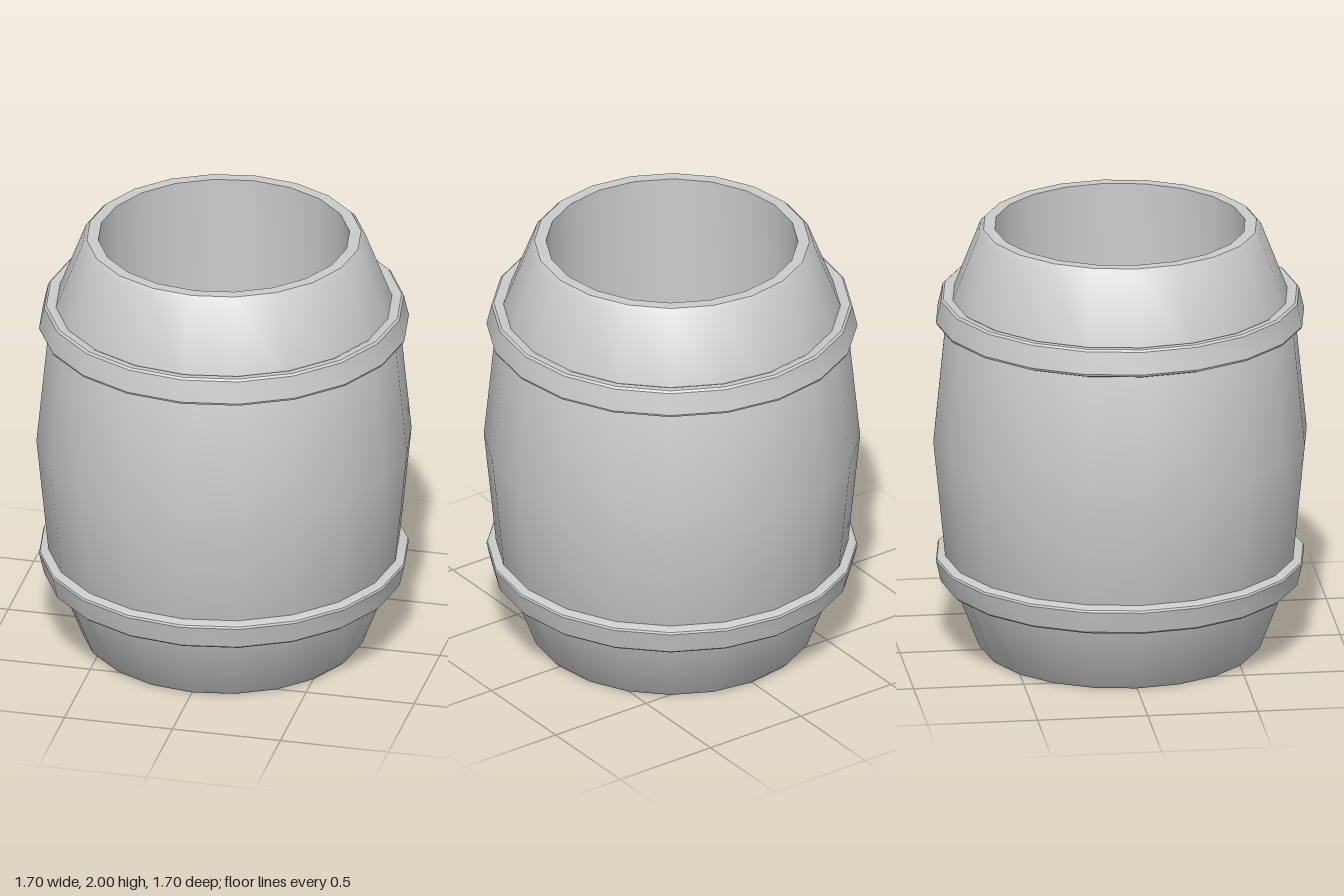
import * as THREE from 'three';
import { toCreasedNormals } from 'three/addons/utils/BufferGeometryUtils.js';

const SIDES = 20;
const material = new THREE.MeshStandardMaterial({ color: 0xcccccc });

// Revolve a profile of [radius, height] points, keeping hard profile edges sharp
function revolve(name, profile) {
  const points = profile.map(([r, y]) => new THREE.Vector2(r, y));
  const geometry = toCreasedNormals(new THREE.LatheGeometry(points, SIDES), 0.5);
  const mesh = new THREE.Mesh(geometry, material);
  mesh.name = name;
  return mesh;
}

export function createModel() {
  const barrel = new THREE.Group();
  barrel.name = 'barrel';

  // Closed bottom, bulging staves, bevelled rim and hollow inside with a floor
  barrel.add(revolve('body', [
    [0, 0], [0.62, 0], [0.64, 0.02],
    [0.79, 0.41], [0.848, 1], [0.79, 1.59],
    [0.64, 1.98], [0.62, 2], [0.568, 2],
    [0.568, 0.1], [0, 0.1],
  ]));

  // Hoops: the lower one mirrors the upper one about mid height
  const hoop = [
    [0.77, 1.545], [0.8, 1.545], [0.832, 1.558], [0.836, 1.568],
    [0.813, 1.668], [0.803, 1.677], [0.775, 1.677], [0.75, 1.665],
  ];
  barrel.add(revolve('upperHoop', hoop));
  barrel.add(revolve('lowerHoop', hoop.map(([r, y]) => [r, 2 - y]).reverse()));

  return barrel;
}
